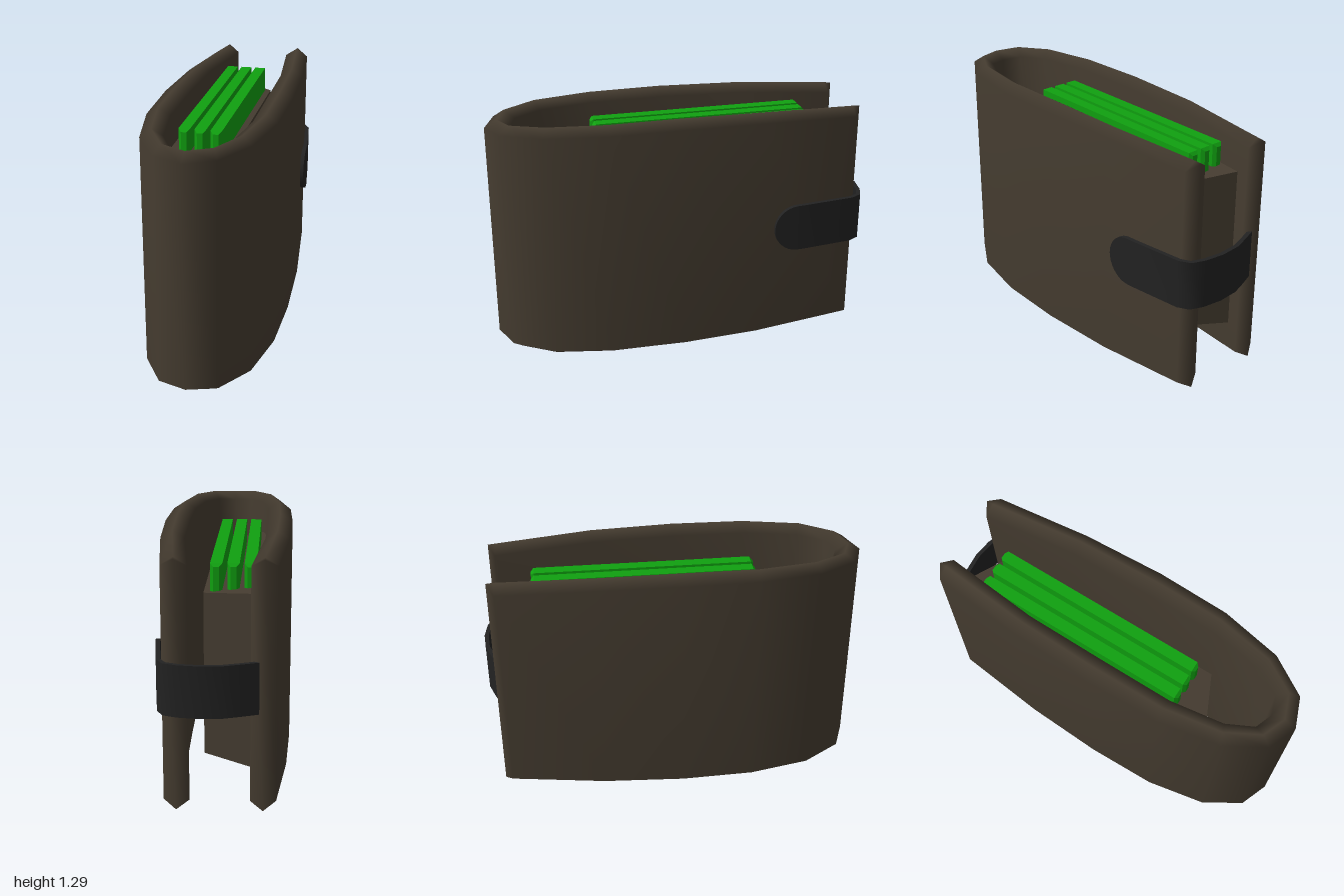
import * as THREE from 'three';
import { mergeVertices, toCreasedNormals } from 'three/addons/utils/BufferGeometryUtils.js';

const HEIGHT = 1.293;
const paint = (color, roughness = 0.8) => new THREE.MeshStandardMaterial({ color, roughness });

// Skin a list of equal-length rings of [x, y, z] points and close both ends.
function loft(rings) {
  const n = rings[0].length, last = (rings.length - 1) * n, index = [];
  for (let i = 0; i < rings.length - 1; i++) {
    for (let k = 0; k < n; k++) {
      const a = i * n + k, b = i * n + (k + 1) % n;
      index.push(a, b, b + n, a, b + n, a + n);
    }
  }
  for (let k = 1; k < n - 1; k++) {
    index.push(0, k + 1, k, last, last + k, last + k + 1);
  }
  const geo = new THREE.BufferGeometry();
  geo.setAttribute('position', new THREE.Float32BufferAttribute(rings.flat(2), 3));
  geo.setIndex(index);
  return geo;
}

// Folded cover: a U in plan, with a ridge along its top and bottom edges.
function coverGeometry() {
  // outer x, outer z, inner x, inner z, ridge height
  const half = [
    [0.27, -0.90, 0.145, -0.905, 1.262],
    [0.32, -0.40, 0.20, -0.40, 1.285],
    [0.338, 0.03, 0.207, 0.03, 1.293],
    [0.33, 0.41, 0.207, 0.41, 1.29],
    [0.27, 0.73, 0.165, 0.69, 1.285],
    [0.15, 0.93, 0.095, 0.825, 1.277],
  ];
  const mirrored = half.map(([ox, oz, ix, iz, h]) => [-ox, oz, -ix, iz, h]).reverse();
  const stations = [...half, [0, 0.99, 0, 0.86, 1.27], ...mirrored];
  const rings = stations.map(([ox, oz, ix, iz, h]) => {
    const mx = (ox + ix) / 2, mz = (oz + iz) / 2, low = HEIGHT - h, e = 0.04;
    return [
      [ox, low + e, oz], [ox, h - e, oz], [mx, h, mz],
      [ix, h - e, iz], [ix, low + e, iz], [mx, low, mz],
    ];
  });
  // each free end closes to a vertical edge
  const tip = (x) => [0.035, 1.258, 1.258, 1.258, 0.035, 0.035].map((y) => [x, y, -0.94]);
  const geo = mergeVertices(loft([tip(0.207), ...rings, tip(-0.207)]));
  geo.computeVertexNormals();
  return geo;
}

// Thin closing strap with a rounded end.
function strapGeometry() {
  const path = [
    [-0.19, -0.915], [-0.10, -0.95], [-0.02, -0.978], [0.09, -0.987], [0.19, -0.974],
    [0.255, -0.95], [0.283, -0.90], [0.318, -0.62], [0.32, -0.587],
  ].map(([x, z]) => [x, z, 0.127]);
  for (let i = 1; i <= 8; i++) {
    const a = (i / 8) * Math.PI / 2;
    path.push([0.321, -0.587 + 0.127 * Math.sin(a), Math.max(0.127 * Math.cos(a), 0.002)]);
  }
  const t = 0.011, mid = 0.648;
  const rings = path.map(([x, z, h], i) => {
    const p = path[Math.max(i - 1, 0)], q = path[Math.min(i + 1, path.length - 1)];
    const dx = q[0] - p[0], dz = q[1] - p[1], len = Math.hypot(dx, dz);
    const nx = (dz / len) * t, nz = (-dx / len) * t;
    return [
      [x + nx, mid - h, z + nz], [x + nx, mid + h, z + nz],
      [x - nx, mid + h, z - nz], [x - nx, mid - h, z - nz],
    ];
  });
  return toCreasedNormals(loft(rings), 0.7);
}

// Inner pocket: a block that flares towards the panel holding it.
function pocketGeometry() {
  const geo = new THREE.BoxGeometry(0.325, 0.81, 1.22);
  const p = geo.attributes.position;
  for (let i = 0; i < p.count; i++) {
    if (p.getX(i) < 0) {
      p.setY(i, p.getY(i) + Math.sign(p.getY(i)) * 0.035);
      p.setZ(i, p.getZ(i) + Math.sign(p.getZ(i)) * 0.15);
    }
  }
  geo.computeVertexNormals();
  return geo;
}

// One bundle of notes: a slab with chamfered edges.
function noteGeometry() {
  const w = 0.058, h = 0.9, d = 1.155, c = 0.015;
  const shape = new THREE.Shape();
  shape.moveTo(-w / 2 + c, -h / 2 + c);
  shape.lineTo(w / 2 - c, -h / 2 + c);
  shape.lineTo(w / 2 - c, h / 2 - c);
  shape.lineTo(-w / 2 + c, h / 2 - c);
  const geo = new THREE.ExtrudeGeometry(shape, {
    depth: d - 2 * c, bevelEnabled: true, bevelSize: c, bevelThickness: c, bevelSegments: 1,
  });
  geo.translate(0, 0, -d / 2 + c);
  return geo;
}

export function createModel() {
  const model = new THREE.Group();
  model.name = 'wallet';
  const leather = paint(0x453c30), strapMat = paint(0x222222), green = paint(0x10a010);
  const add = (name, geo, mat, x = 0, y = 0, z = 0) => {
    const mesh = new THREE.Mesh(geo, mat);
    mesh.name = name;
    mesh.position.set(x, y, z);
    model.add(mesh);
  };

  add('cover', coverGeometry(), leather);
  add('pocket', pocketGeometry(), leather, -0.078, HEIGHT / 2, -0.12);
  add('strap', strapGeometry(), strapMat);

  const note = noteGeometry();
  [-0.137, -0.056, 0.025].forEach((x, i) => add('notes' + (i + 1), note, green, x, 0.74, -0.147));
  return model;
}
